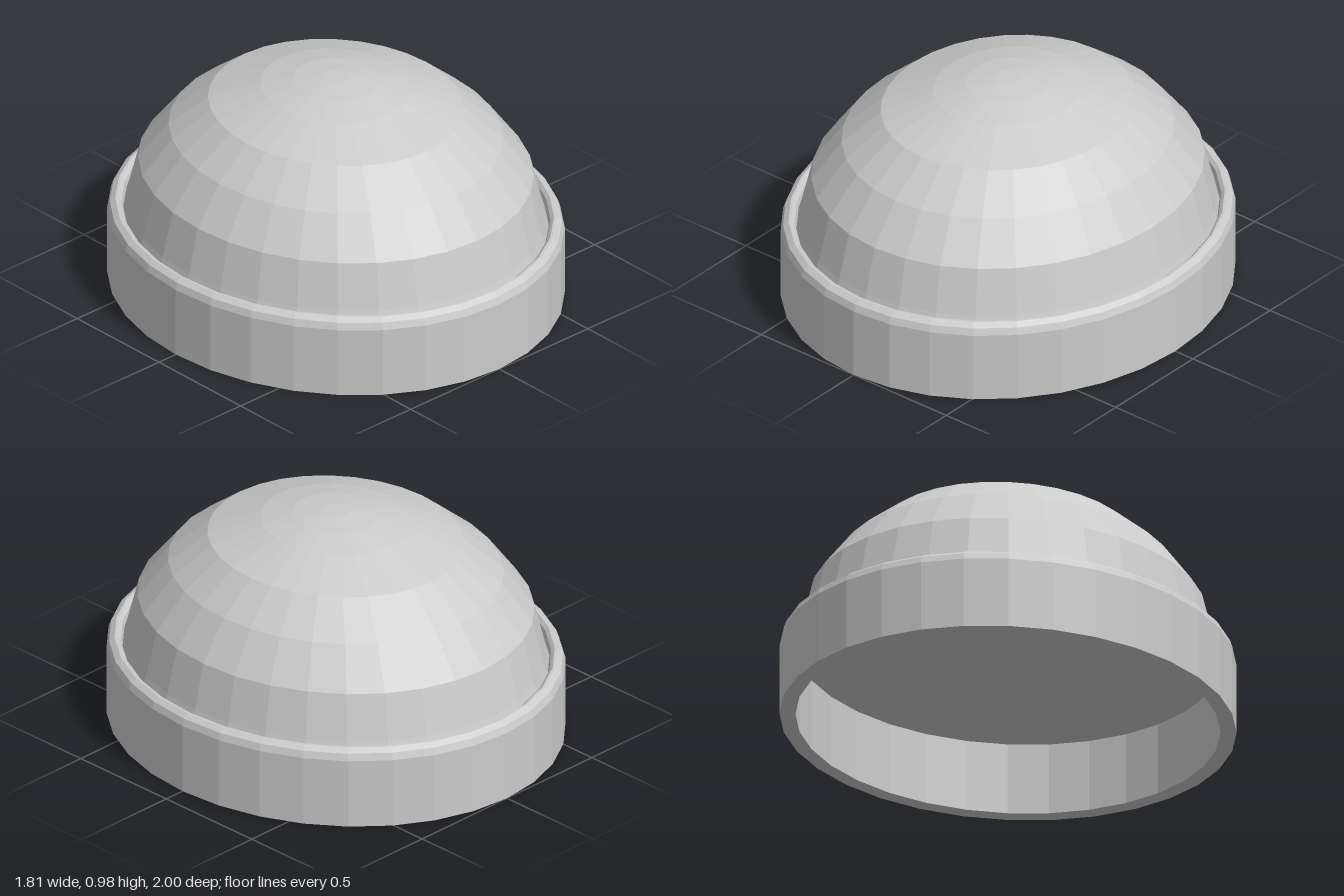
import * as THREE from 'three';

const SIDES = 32;
const WIDTH_RATIO = 0.905; // oval plan: narrower in x than in z

// Faceted oval part turned from a [radius, height] profile
function ovalLathe(name, profile, material) {
  const points = profile.map(([r, y]) => new THREE.Vector2(r, y));
  const geometry = new THREE.LatheGeometry(points, SIDES).toNonIndexed();
  geometry.scale(WIDTH_RATIO, 1, 1);
  geometry.computeVertexNormals();
  const mesh = new THREE.Mesh(geometry, material);
  mesh.name = name;
  return mesh;
}

export function createModel() {
  const group = new THREE.Group();
  group.name = 'domedCap';
  const material = new THREE.MeshStandardMaterial({ color: 0xcccccc, flatShading: true });

  // Hollow base band with a bevelled upper rim
  group.add(ovalLathe('baseBand', [
    [0.93, 0], [1, 0], [1, 0.308], [0.989, 0.338], [0.965, 0.355],
    [0.953, 0.355], [0.938, 0.342], [0.93, 0.315], [0.93, 0],
  ], material));

  // Dome, closed underneath by a flat ceiling inside the band
  group.add(ovalLathe('dome', [
    [0, 0.315], [0.93, 0.315], [0.917, 0.355], [0.865, 0.555], [0.732, 0.722],
    [0.56, 0.855], [0.33, 0.935], [0.185, 0.967], [0.06, 0.98], [0, 0.98],
  ], material));

  return group;
}
